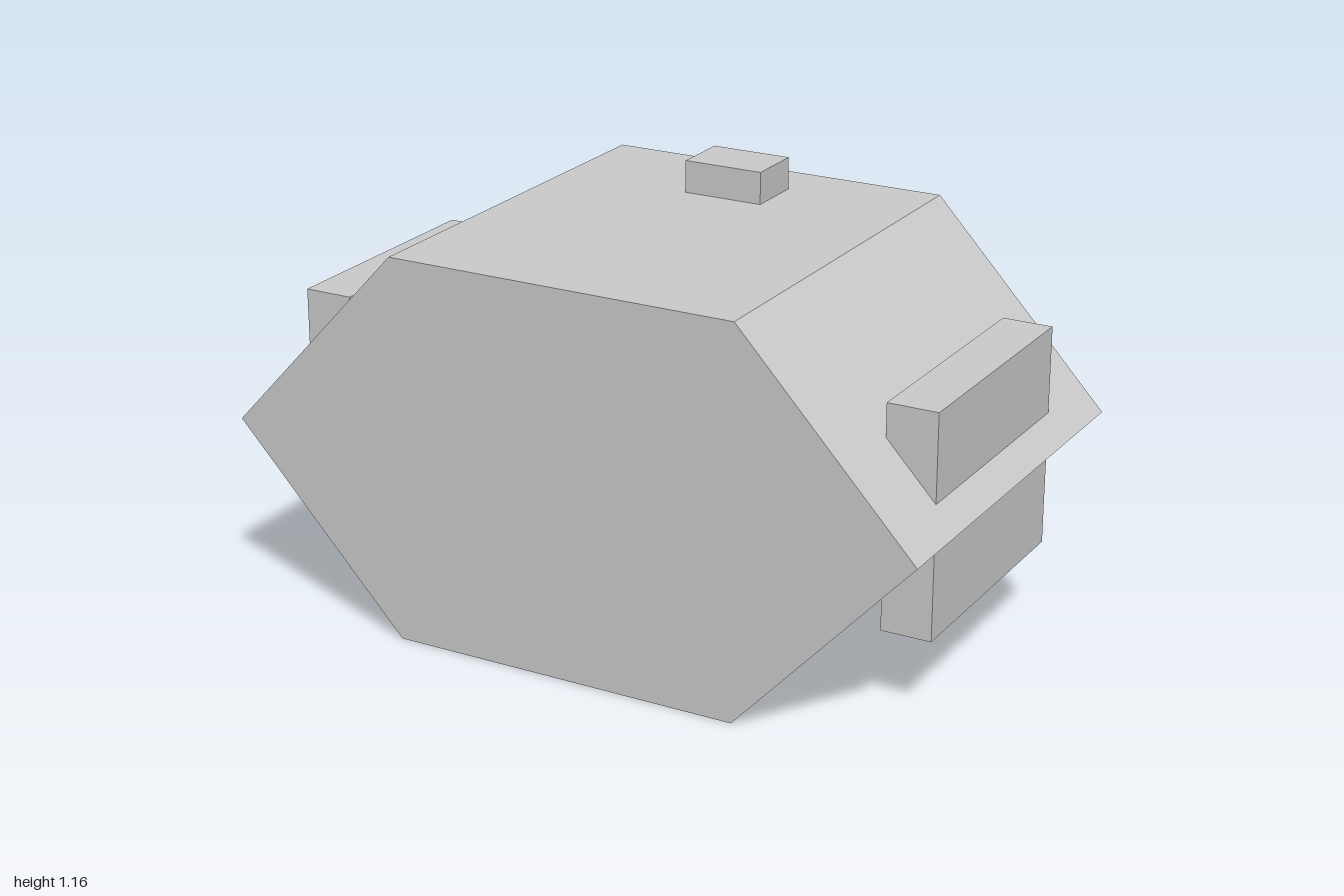
import * as THREE from 'three';

export function createModel() {
  const model = new THREE.Group();
  const grey = new THREE.MeshStandardMaterial({ color: 0xcccccc });
  grey.name = 'light grey';

  const add = (name, geometry, x, y, z) => {
    const mesh = new THREE.Mesh(geometry, grey);
    mesh.name = name;
    mesh.position.set(x, y, z);
    model.add(mesh);
  };

  // Hexagonal hull, extruded from back to front
  const depth = 1.18;
  const outline = new THREE.Shape(
    [[-0.5, 0], [0.5, 0], [1, 0.5375], [0.5, 1.075], [-0.5, 1.075], [-1, 0.5375]]
      .map(([x, y]) => new THREE.Vector2(x, y))
  );
  add('hull', new THREE.ExtrudeGeometry(outline, { depth, bevelEnabled: false }), 0, 0, -depth / 2);

  // Blocks set into the four sloping sides
  const block = new THREE.BoxGeometry(0.14, 0.243, 0.71);
  for (const [side, x] of [['left', 0.868], ['right', -0.868]]) {
    add(`${side}UpperBlock`, block, x, 0.724, 0);
    add(`${side}LowerBlock`, block, x, 0.353, 0);
  }

  // Small hatch on the roof towards the back
  add('roofHatch', new THREE.BoxGeometry(0.23, 0.09, 0.165), 0, 1.12, -0.355);

  return model;
}
